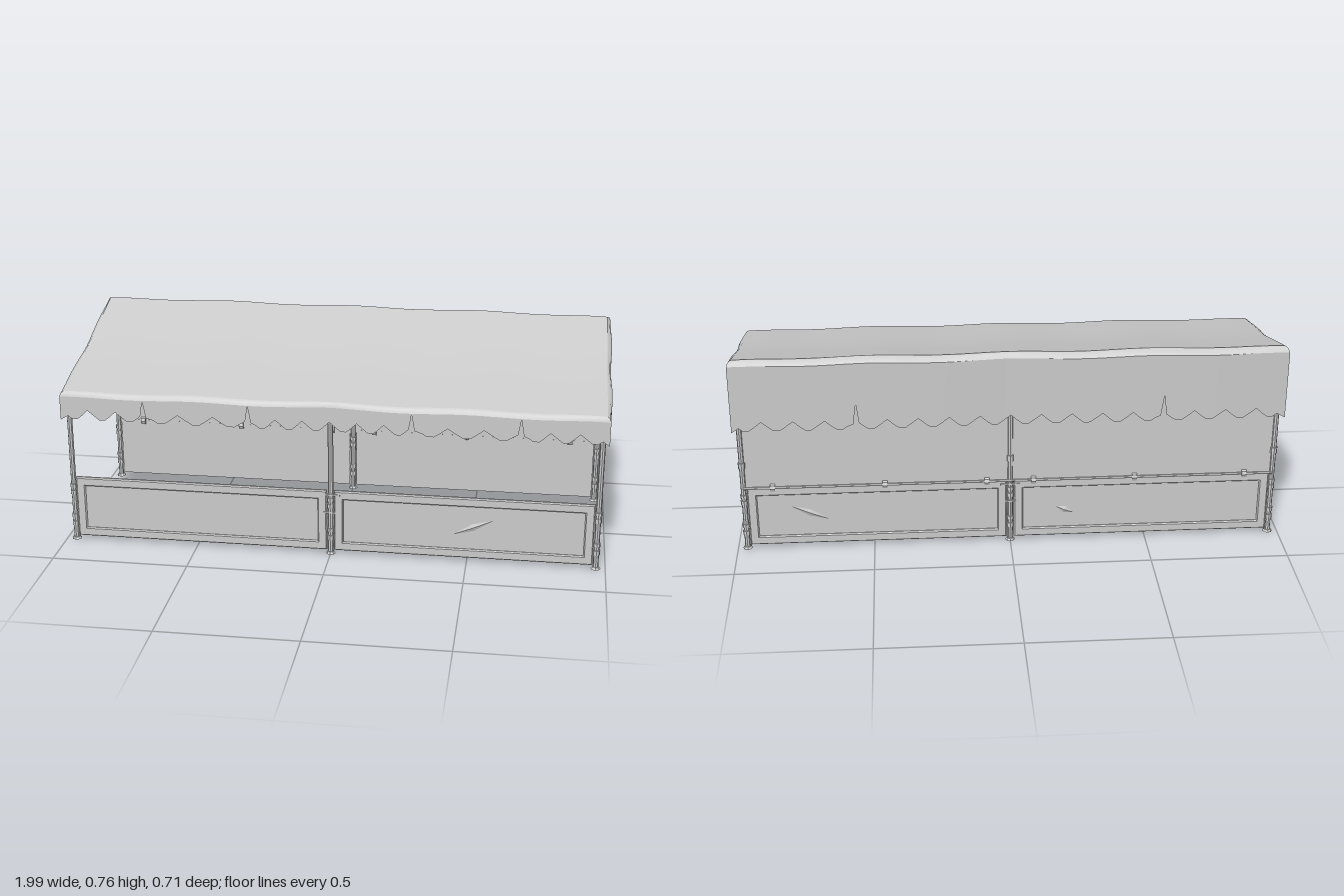
import * as THREE from 'three';

const metal = new THREE.MeshStandardMaterial({ color: 0xcccccc, flatShading: true });
const cloth = new THREE.MeshStandardMaterial({ color: 0xcccccc, side: THREE.DoubleSide });

const HALF = 0.975, FRONT = 0.335, BACK = -0.325;

function add(parent, name, geometry, x, y, z, material = metal) {
  const mesh = new THREE.Mesh(geometry, material);
  mesh.name = name;
  mesh.position.set(x, y, z);
  parent.add(mesh);
  return mesh;
}

// Surface through rows of [x, y, z] points
function sheet(rows) {
  const n = rows[0].length, index = [];
  for (let r = 0; r < rows.length - 1; r++) {
    for (let c = 0; c < n - 1; c++) {
      const a = r * n + c, b = a + 1, d = a + n, e = d + 1;
      index.push(a, d, b, b, d, e);
    }
  }
  const g = new THREE.BufferGeometry();
  g.setAttribute('position', new THREE.Float32BufferAttribute(rows.flat(2), 3));
  g.setIndex(index);
  g.computeVertexNormals();
  return g;
}

// Roof height: a slope with a kink in the middle and a slight sag along x
function roofY(x, z) {
  const base = z > 0 ? 0.665 - 0.07 * z / FRONT : 0.665 + 0.095 * z / BACK;
  const end = Math.pow(Math.abs(x) / HALF, 8);
  return base + 0.003 * Math.cos(x * 13) - 0.006 * end;
}

// Hem stations [position, height]: scallops between valleys, with some deep slits
function hem(valleys, slits, slitY) {
  const out = [];
  valleys.forEach((v, i) => {
    const end = i === 0 || i === valleys.length - 1;
    const slit = slits.some(s => Math.abs(s - v) < 0.001);
    if (slit) out.push([v - 0.009, 0.515], [v, slitY], [v + 0.011, 0.51]);
    else out.push([v, end ? 0.485 : 0.525]);
    if (i === valleys.length - 1) return;
    const w = valleys[i + 1] - v;
    for (const [f, y] of [[0.28, 0.502], [0.42, 0.491], [0.62, 0.491], [0.76, 0.502]]) out.push([v + f * w, y]);
  });
  return out;
}

const mirrored = half => [...half.slice(1).reverse().map(v => -v), ...half];

// Rounded edge strip and hanging cloth for one side of the canopy
function valance(group, name, stations, place) {
  const rows = [[], [], [], []];
  for (const [s, y] of stations) {
    const { edge, out } = place(s);
    const mid = [(edge[0] + 2 * out[0]) / 3, (2 * edge[1] + out[1]) / 3, (edge[2] + 2 * out[2]) / 3];
    rows[0].push(edge);
    rows[1].push(mid);
    rows[2].push(out);
    rows[3].push([out[0], y, out[2]]);
  }
  add(group, name + 'Edge', sheet(rows.slice(0, 3)), 0, 0, 0, cloth);
  add(group, name + 'Valance', sheet(rows.slice(2)), 0, 0, 0, cloth);
}

function makeCanopy() {
  const canopy = new THREE.Group();
  canopy.name = 'canopy';
  const frontHem = hem(mirrored([0, 0.097, 0.193, 0.29, 0.417, 0.543, 0.67, 0.772, 0.874, HALF]),
    [-0.67, -0.29, 0.29, 0.67], 0.572);
  const backHem = hem(mirrored([0, 0.108, 0.216, 0.324, 0.432, 0.54, 0.65, 0.76, 0.87, HALF]),
    [-0.54, 0.54], 0.59);
  const sideHem = hem([BACK, -0.255, -0.13, 0, 0.137, 0.255, FRONT], [0.137], 0.57);

  // Roof cloth
  const rows = [BACK, -0.16, 0, 0.17, FRONT].map(z => frontHem.map(([x]) => [x, roofY(x, z), z]));
  add(canopy, 'roof', sheet(rows), 0, 0, 0, cloth);

  // Front and back valances bulge gently in two waves
  const along = (edgeZ, dir) => x => {
    const y = roofY(x, edgeZ);
    const bulge = 0.345 + 0.008 * Math.abs(Math.sin(Math.PI * x / HALF));
    return { edge: [x, y, edgeZ], out: [x * 0.988 / HALF, y - 0.018, dir * bulge] };
  };
  valance(canopy, 'front', frontHem, along(FRONT, 1));
  valance(canopy, 'back', backHem.reverse(), along(BACK, -1));

  // Side valances
  for (const s of [1, -1]) {
    const place = z => {
      const y = roofY(HALF, z), zOut = z * 0.345 / (z > 0 ? FRONT : -BACK);
      const ripple = 0.006 * Math.pow(Math.sin(z * 9.3), 2) * (1 - Math.pow(zOut / 0.345, 4));
      return { edge: [s * HALF, y, z], out: [s * (0.988 + ripple), y - 0.018, zOut] };
    };
    valance(canopy, s > 0 ? 'left' : 'right', s > 0 ? [...sideHem].reverse() : sideHem, place);
  }
  return canopy;
}

// Post with a foot plate and clamp bands
function makePost(height, bands) {
  const post = new THREE.Group();
  post.name = 'post';
  add(post, 'pole', new THREE.CylinderGeometry(0.01, 0.01, height, 8), 0, height / 2, 0);
  add(post, 'foot', new THREE.CylinderGeometry(0.013, 0.018, 0.008, 8), 0, 0.004, 0);
  for (const [y, h] of bands) add(post, 'band', new THREE.CylinderGeometry(0.0135, 0.0135, h, 8), 0, y, 0);
  return post;
}

// Low panel: flat board with a bevelled raised border on its outer face
function makePanel() {
  const w = 0.94, h = 0.235, panel = new THREE.Group();
  panel.name = 'panel';
  const rect = (S, a, b) => new S([[-a, -b], [a, -b], [a, b], [-a, b]].map(p => new THREE.Vector2(...p)));
  const shape = rect(THREE.Shape, w / 2 - 0.004, h / 2 - 0.004);
  shape.holes.push(rect(THREE.Path, w / 2 - 0.03, h / 2 - 0.03));
  const border = new THREE.ExtrudeGeometry(shape,
    { depth: 0.002, bevelEnabled: true, bevelThickness: 0.005, bevelSize: 0.004, bevelSegments: 1 });
  add(panel, 'board', new THREE.BoxGeometry(w, h, 0.006), 0, 0, 0);
  add(panel, 'border', border, 0, 0, 0.003);
  return panel;
}

export function createModel() {
  const model = new THREE.Group();
  model.name = 'marketStall';
  model.add(makeCanopy());

  // Six posts
  const bands = [[0.065, 0.018], [0.095, 0.014], [0.19, 0.016], [0.215, 0.014]];
  for (const x of [-0.965, 0, 0.965]) {
    const front = makePost(0.585, bands);
    front.position.set(x, 0, 0.313);
    const back = makePost(0.74, [...bands, [0.34, 0.024]]);
    back.position.set(x, 0, -0.313);
    model.add(front, back);
  }

  // Low panels, with a shallow dent on some, and pins beside the middle posts
  for (const side of [1, -1]) {
    for (const x of [-0.483, 0.483]) {
      const panel = makePanel();
      panel.position.set(x, 0.133, side * 0.313);
      if (side < 0) panel.rotation.y = Math.PI;
      model.add(panel);
    }
    for (const y of [0.165, 0.235]) {
      add(model, 'pin', new THREE.BoxGeometry(0.07, 0.006, 0.008), 0, y, side * 0.32);
    }
  }
  for (const [x, y, z, length] of [[0.52, 0.135, 0.316, 0.08], [0.73, 0.14, -0.316, 0.075], [-0.2, 0.12, -0.316, 0.035]]) {
    const dent = add(model, 'dent', new THREE.OctahedronGeometry(1), x, y, z);
    dent.scale.set(length, 0.013, 0.005);
    dent.rotation.z = 0.4;
  }

  // Upper back wall, rail and its clamps
  add(model, 'backWall', new THREE.BoxGeometry(1.93, 0.46, 0.005), 0, 0.47, -0.313);
  const rail = add(model, 'rail', new THREE.CylinderGeometry(0.005, 0.005, 1.93, 6), 0, 0.248, -0.32);
  rail.rotation.z = Math.PI / 2;
  for (const x of [-0.86, -0.455, -0.085, 0.085, 0.455, 0.86]) {
    const clamp = add(model, 'clamp', new THREE.CylinderGeometry(0.016, 0.016, 0.018, 8), x, 0.247, -0.313);
    clamp.rotation.z = Math.PI / 2;
  }
  return model;
}
